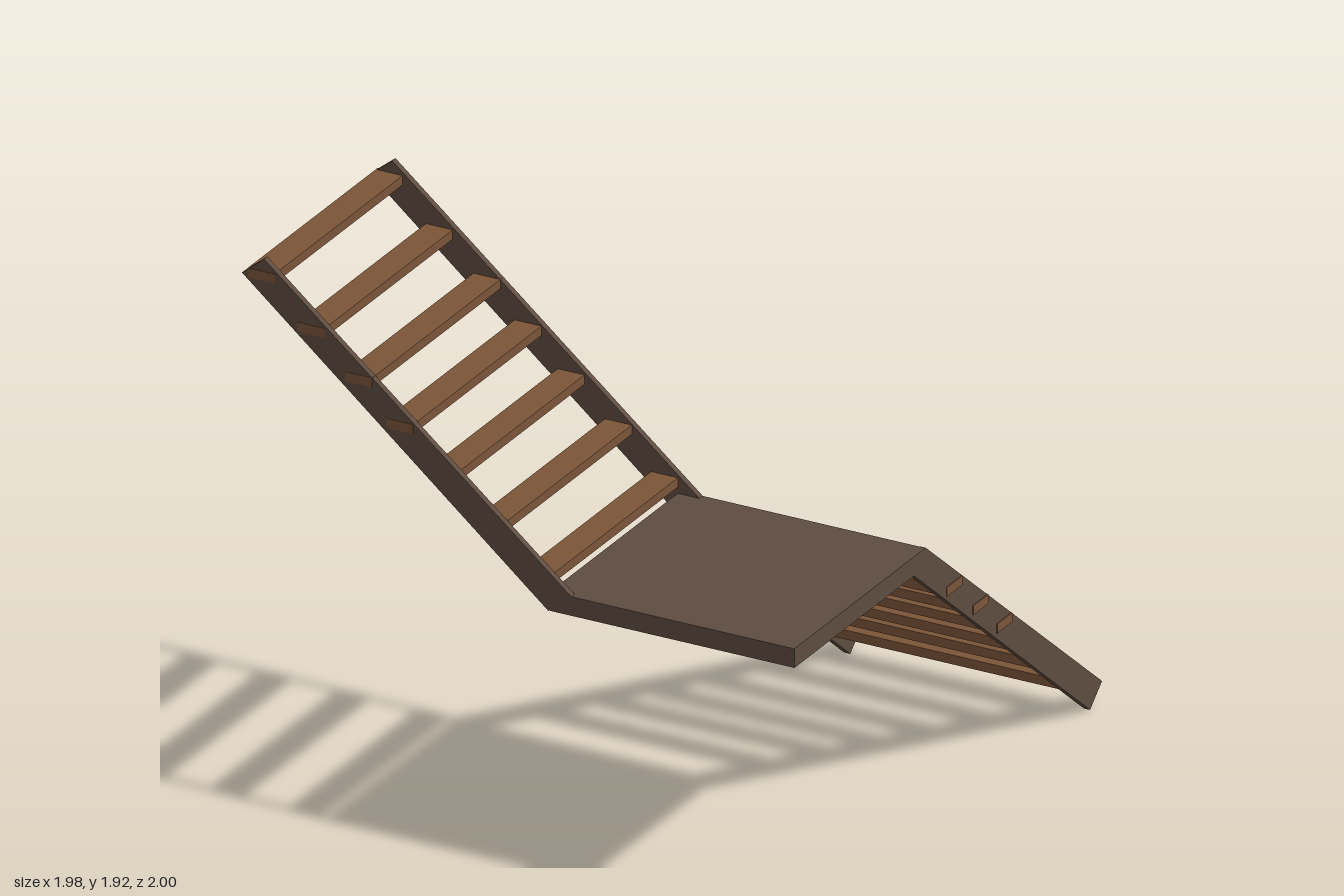
import * as THREE from 'three';

const darkWood = new THREE.MeshStandardMaterial({ color: 0x5e4c40 });
darkWood.name = 'dark wood';
const treadWood = new THREE.MeshStandardMaterial({ color: 0x7b5538 });
treadWood.name = 'tread wood';

const BOARD = 0.022; // stringer thickness

// Box given by its minimum and maximum corners
function block(name, material, [x0, y0, z0], [x1, y1, z1]) {
  const mesh = new THREE.Mesh(new THREE.BoxGeometry(x1 - x0, y1 - y0, z1 - z0), material);
  mesh.position.set((x0 + x1) / 2, (y0 + y1) / 2, (z0 + z1) / 2);
  mesh.name = name;
  return mesh;
}

// Sloping board: a side profile extruded by the board thickness
function stringerGeometry(points) {
  const shape = new THREE.Shape(points.map(([u, v]) => new THREE.Vector2(u, v)));
  return new THREE.ExtrudeGeometry(shape, { depth: BOARD, bevelEnabled: false });
}

function createUpperFlight() {
  const flight = new THREE.Group();
  flight.name = 'upperFlight';

  // Profile in x and y
  const profile = stringerGeometry([[0.108, 0.93], [0.19, 0.997], [-0.908, 1.916], [-0.987, 1.852]]);
  for (const [name, z] of [['upperFrontStringer', 0.976], ['upperBackStringer', 0.146]]) {
    const stringer = new THREE.Mesh(profile, darkWood);
    stringer.position.z = z;
    stringer.name = name;
    flight.add(stringer);
  }

  // Treads as [x, y], lowest first; the lowest three sit slightly further back
  const treads = [[0.066, 1.035], [-0.099, 1.18], [-0.268, 1.315], [-0.422, 1.449],
    [-0.569, 1.577], [-0.739, 1.71], [-0.918, 1.857]];
  treads.forEach(([x, y], i) => {
    const [z0, z1] = i < 3 ? [0.143, 0.985] : [0.155, 1.0];
    flight.add(block('upperTread', treadWood,
      [x - 0.048, y - 0.016, z0], [x + 0.048, y + 0.016, z1]));
  });
  return flight;
}

function createLowerFlight() {
  const flight = new THREE.Group();
  flight.name = 'lowerFlight';

  // Profile in -z and y, turned to run along z
  const profile = stringerGeometry([[-0.22, 0.93], [0.92, 0], [0.998, 0.068], [-0.145, 0.997]]);
  profile.rotateY(Math.PI / 2);
  for (const [name, x] of [['lowerLeftStringer', 0.965], ['lowerRightStringer', 0.108]]) {
    const stringer = new THREE.Mesh(profile, darkWood);
    stringer.position.x = x;
    stringer.name = name;
    flight.add(stringer);
  }

  // Treads as [z, y], highest first; the highest three sit slightly further left
  const treads = [[-0.037, 0.79], [-0.208, 0.657], [-0.362, 0.53],
    [-0.521, 0.397], [-0.694, 0.26], [-0.867, 0.117]];
  treads.forEach(([z, y], i) => {
    const [x0, x1] = i < 3 ? [0.118, 0.99] : [0.105, 0.972];
    flight.add(block('lowerTread', treadWood,
      [x0, y - 0.016, z - 0.049], [x1, y + 0.016, z + 0.049]));
  });
  return flight;
}

export function createModel() {
  const model = new THREE.Group();
  model.name = 'cornerStaircase';
  model.add(
    block('landing', darkWood, [0.113, 0.931, 0.147], [0.987, 0.997, 0.997]),
    createUpperFlight(),
    createLowerFlight(),
  );
  return model;
}
